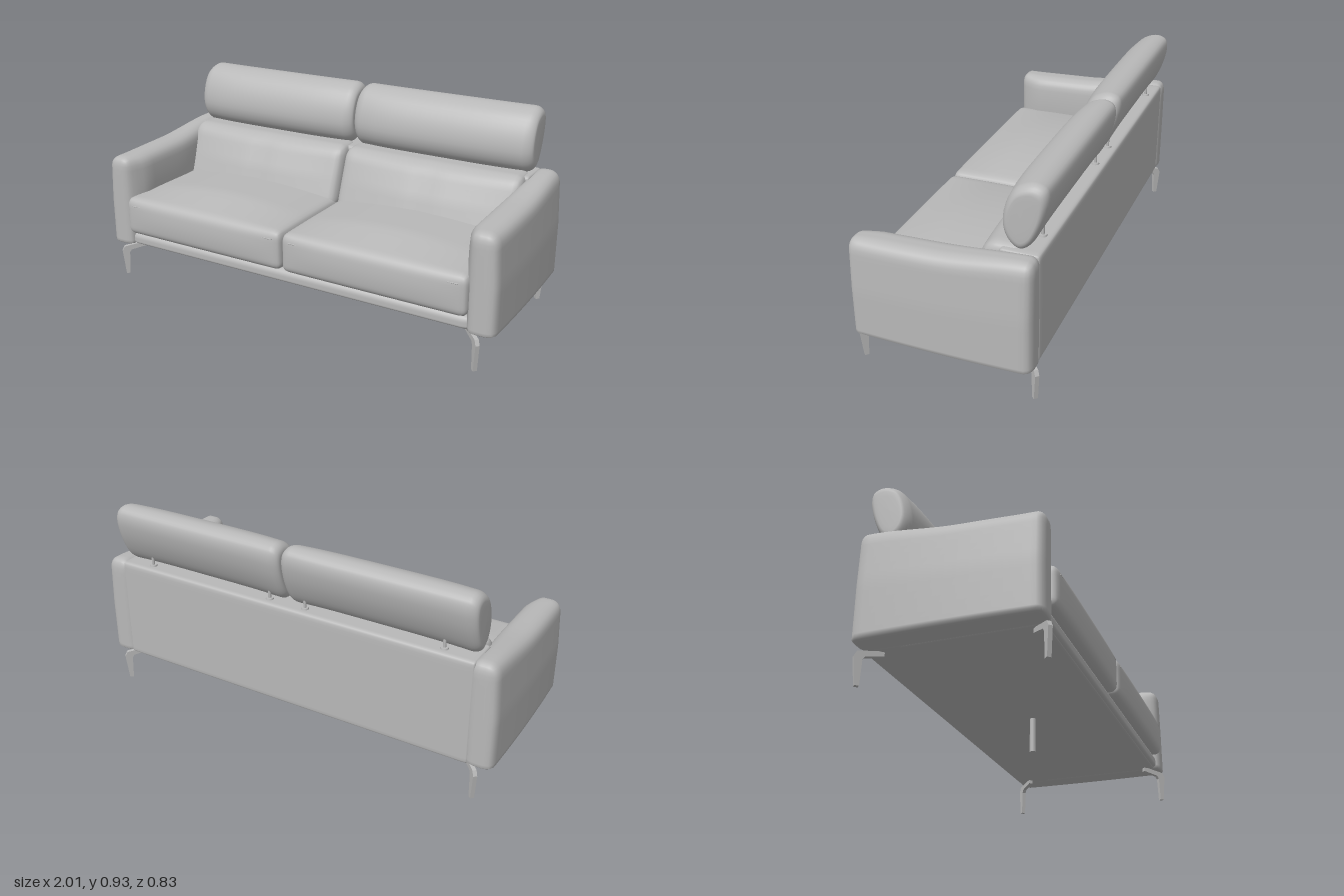
import * as THREE from 'three';
import { mergeVertices } from 'three/addons/utils/BufferGeometryUtils.js';

const grey = new THREE.MeshStandardMaterial({ color: 0xb8b8b8 });
grey.name = 'warm grey';

function add(parent, name, geometry, x = 0, y = 0, z = 0) {
  const mesh = new THREE.Mesh(geometry, grey);
  mesh.name = name;
  mesh.position.set(x, y, z);
  parent.add(mesh);
  return mesh;
}

// Rounded box with elliptical edges (radii r, lower edge radius low), bent by a rule.
// The rule gets the point p and its place u, v, w in the box, each from -1 to 1.
function padded(w, h, d, r, low = r[1], bend = () => {}) {
  const geo = new THREE.BoxGeometry(2, 2, 2, 24, 20, 24);
  geo.deleteAttribute('uv');
  geo.deleteAttribute('normal');
  const pos = geo.attributes.position;
  const half = [w / 2, h / 2, d / 2];
  const p = new THREE.Vector3();
  for (let i = 0; i < pos.count; i++) {
    const q = [pos.getX(i), pos.getY(i), pos.getZ(i)].map((t) => Math.sin(t * Math.PI / 2));
    const rad = [r[0], q[1] < 0 ? low : r[1], r[2]];
    const inner = q.map((t, k) => THREE.MathUtils.clamp(t * half[k], rad[k] - half[k], half[k] - rad[k]));
    const dir = new THREE.Vector3(...q.map((t, k) => (t * half[k] - inner[k]) / rad[k])).normalize();
    p.set(inner[0] + dir.x * rad[0], inner[1] + dir.y * rad[1], inner[2] + dir.z * rad[2]);
    bend(p, p.x / half[0], p.y / half[1], p.z / half[2]);
    pos.setXYZ(i, p.x, p.y, p.z);
  }
  const out = mergeVertices(geo, 1e-5);
  out.computeVertexNormals();
  return out;
}

// Headrest: one slanted oval section carried along x, with rounded ends.
function headrestGeometry(width) {
  const section = [
    [-0.275, 0.641], [-0.228, 0.675], [-0.205, 0.735], [-0.218, 0.82], [-0.26, 0.89],
    [-0.31, 0.918], [-0.36, 0.925], [-0.4, 0.908], [-0.411, 0.87], [-0.402, 0.81],
    [-0.377, 0.74], [-0.34, 0.675], [-0.305, 0.646],
  ].map(([z, y]) => new THREE.Vector3(0, y, z));
  const ring = new THREE.CatmullRomCurve3(section, true).getPoints(44).slice(0, -1);
  const n = ring.length, round = 0.045, stations = [];
  for (const s of [0, 0.3, 0.55]) stations.push([-width / 2 - 0.001 + s * 0.001, s]);
  for (let i = 0; i <= 6; i++) {
    const a = i / 6 * Math.PI / 2;
    stations.push([-width / 2 + round * (1 - Math.cos(a)), 0.72 + 0.28 * Math.sin(a)]);
  }
  for (let i = 1; i < 10; i++) stations.push([(i / 10 - 0.5) * (width - 2 * round), 1]);
  for (const [x, s] of stations.slice(0, 10).reverse()) stations.push([-x, s]);

  const verts = [], index = [];
  stations.forEach(([x, s], i) => {
    const u = 2 * x / width;
    for (const q of ring) {
      const z = -0.411 + (q.z + 0.411) * (1 - 0.14 * u ** 4);
      verts.push(x, 0.785 + (q.y - 0.785) * s, -0.31 + (z + 0.31) * s);
    }
    if (i === 0) return;
    for (let j = 0; j < n; j++) {
      const k = (j + 1) % n, a = (i - 1) * n, b = i * n;
      index.push(a + j, b + j, a + k, a + k, b + j, b + k);
    }
  });
  const geo = new THREE.BufferGeometry();
  geo.setAttribute('position', new THREE.Float32BufferAttribute(verts, 3));
  geo.setIndex(index);
  geo.computeVertexNormals();
  return geo;
}

// Bent flat leg: tapered foot, knee and a bar running inwards under the base.
function legGeometry() {
  const shape = new THREE.Shape([
    [0.012, 0], [0, 0.12], [0.012, 0.143], [0.12, 0.162], [0.12, 0.14],
    [0.044, 0.124], [0.035, 0.11], [0.03, 0],
  ].map(([x, y]) => new THREE.Vector2(x, y)));
  return new THREE.ExtrudeGeometry(shape, { depth: 0.018, bevelEnabled: false }).translate(0, 0, -0.009);
}

export function createModel() {
  const sofa = new THREE.Group();
  sofa.name = 'sofa';

  // Frame
  add(sofa, 'base', padded(1.76, 0.045, 0.72, [0.01, 0.012, 0.012]), 0, 0.18, 0);
  add(sofa, 'frontRail', padded(1.76, 0.062, 0.08, [0.02, 0.03, 0.03], 0.015), 0, 0.192, 0.334);
  add(sofa, 'seatDeck', padded(1.74, 0.06, 0.66, [0.01, 0.01, 0.01]), 0, 0.22, 0);
  add(sofa, 'backFrame', padded(1.78, 0.483, 0.17, [0.012, 0.018, 0.018], 0.01), 0, 0.3985, -0.302);

  const seat = padded(0.876, 0.185, 0.6, [0.03, 0.04, 0.03], 0.035, (p, u, v, w) => {
    const ramp = Math.min(1, (1 - w) * 1.4);
    p.y += Math.max(0, v) * 0.042 * (1 - u * u) * ramp;
    if (w > 0) p.z += 0.012 * w * (1 - v * v) * (1 - u ** 4);
  });
  const lumbar = padded(0.876, 0.29, 0.16, [0.035, 0.05, 0.05], 0.05, (p, u, v, w) => {
    const fold = 0.006 * Math.exp(-((u / 0.05) ** 2));
    if (w > 0) p.z += w * (0.036 * (1 - u * u) * (1 - 0.6 * Math.max(0, v)) - fold);
    p.z -= p.y * 0.36;
  });
  const headrest = headrestGeometry(0.886);

  for (const s of [-1, 1]) {
    const name = s > 0 ? 'left' : 'right';

    // Cushions
    add(sofa, name + 'SeatCushion', seat, s * 0.441, 0.318, 0.103);
    add(sofa, name + 'SeatSeam', new THREE.CylinderGeometry(0.0025, 0.0025, 0.8, 8).rotateZ(Math.PI / 2),
      s * 0.441, 0.374, 0.405);
    add(sofa, name + 'BackCushion', lumbar, s * 0.441, 0.506, -0.185);
    add(sofa, name + 'Headrest', headrest, s * 0.448, 0, 0);

    // Headrest posts with round collars
    for (const x of [0.09, 0.74]) {
      add(sofa, name + 'HeadrestPost', new THREE.CylinderGeometry(0.007, 0.007, 0.14, 12), s * x, 0.7, -0.342);
      add(sofa, name + 'PostCollar', new THREE.CylinderGeometry(0.016, 0.018, 0.008, 20), s * x, 0.643, -0.342);
    }

    // Arm: top rises to the back, inner side is padded
    add(sofa, name + 'Arm', padded(0.125, 0.46, 0.78, [0.05, 0.05, 0.035], 0.012, (p, u, v, w) => {
      const t = (1 - w) / 2;
      const rise = -0.018 + 0.025 * t + 0.024 * THREE.MathUtils.smoothstep(t, 0.45, 0.95);
      p.y += (v + 1) / 2 * rise;
      const inner = (1 - s * u) / 2;
      const along = THREE.MathUtils.smoothstep(1 - w, 0, 0.3) * (1 - 0.8 * THREE.MathUtils.smoothstep(t, 0.45, 0.95));
      p.x -= s * inner * 0.036 * along * Math.max(0, 1 - (v - 0.35) ** 2 * 0.8);
      p.x += s * (1 - inner) * (0.008 * (1 - w * w) - 0.012 * Math.max(0, v));
    }), s * 0.932, 0.385, 0);

    // Corner legs turned inwards along the diagonal
    for (const f of [-1, 1]) {
      const leg = add(sofa, (f > 0 ? 'front' : 'back') + (s > 0 ? 'Left' : 'Right') + 'Leg', legGeometry(),
        s * 0.934, 0, f * 0.395);
      leg.rotation.y = Math.atan2(f * 0.085, -s * 0.085);
    }
  }

  add(sofa, 'centreLeg', new THREE.CylinderGeometry(0.014, 0.014, 0.165, 24), 0, 0.0825, 0);
  return sofa;
}
